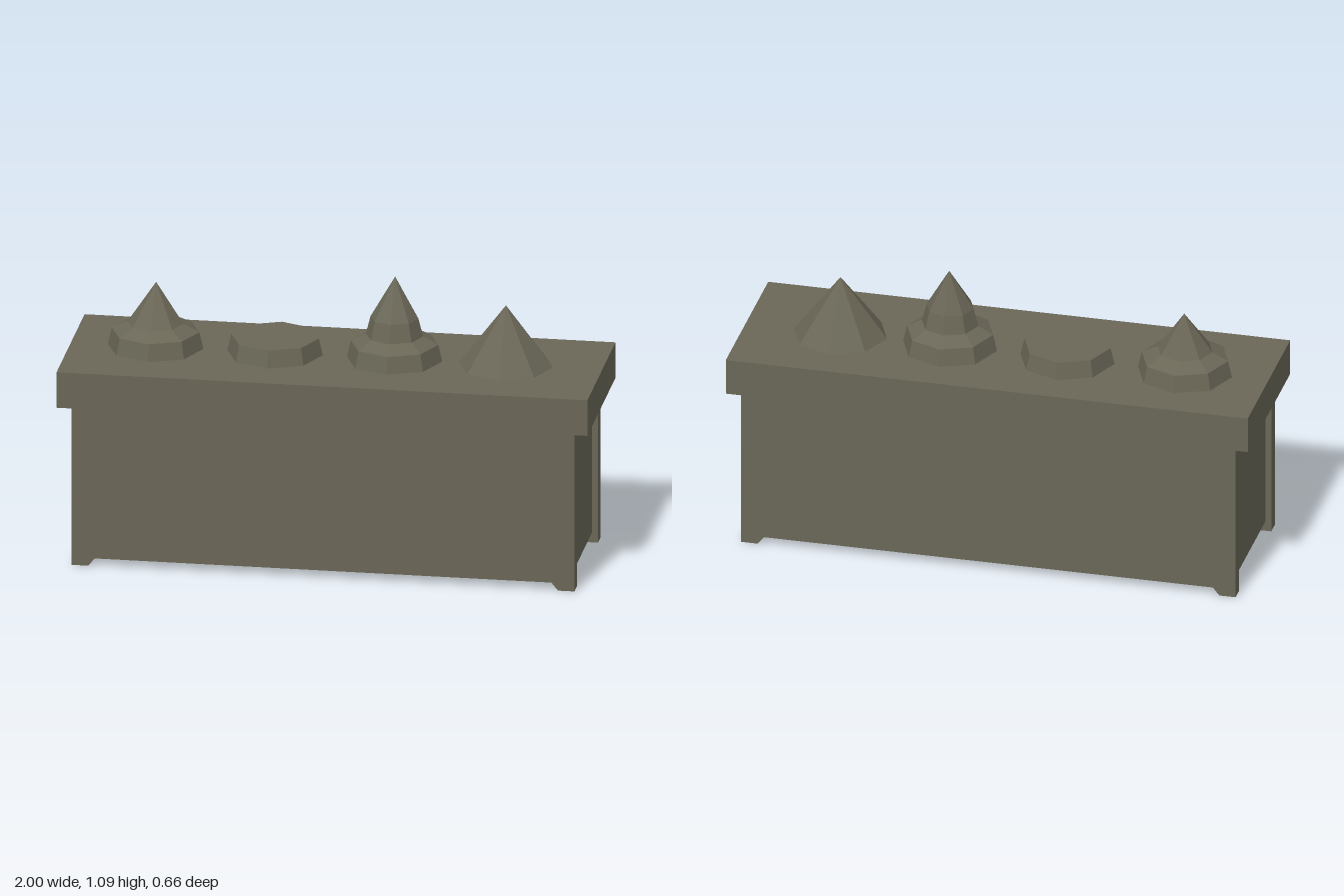
import * as THREE from 'three';

const stone = new THREE.MeshStandardMaterial({ color: 0x6a6757, flatShading: true });
stone.name = 'olive grey';

export function createModel() {
  const model = new THREE.Group();
  model.name = 'planterBox';

  const add = (geometry, name, x = 0, y = 0, z = 0) => {
    const mesh = new THREE.Mesh(geometry, stone);
    mesh.name = name;
    mesh.position.set(x, y, z);
    model.add(mesh);
    return mesh;
  };

  // Long panels with a small chamfered foot at each end
  const wallTop = 0.745;
  const panel = new THREE.Shape([
    [-0.947, 0], [-0.885, 0], [-0.86, 0.03], [0.86, 0.03], [0.885, 0],
    [0.947, 0], [0.947, wallTop], [-0.947, wallTop],
  ].map(([x, y]) => new THREE.Vector2(x, y)));
  const panelGeometry = new THREE.ExtrudeGeometry(panel, { depth: 0.055, bevelEnabled: false });
  add(panelGeometry, 'frontPanel', 0, 0, 0.25);
  add(panelGeometry, 'backPanel', 0, 0, -0.305);

  // Recessed end panels; the box is open underneath
  for (const side of [-1, 1]) {
    add(new THREE.BoxGeometry(0.05, wallTop - 0.04, 0.5),
      side > 0 ? 'leftEndPanel' : 'rightEndPanel', side * 0.9, (wallTop + 0.04) / 2, 0);
  }

  // Hollow lid: a top slab and a thin hanging rim
  add(new THREE.BoxGeometry(2, 0.02, 0.66), 'lidTop', 0, 0.755, 0);
  const corners = (w, d) => [[-w, -d], [w, -d], [w, d], [-w, d]].map(([x, y]) => new THREE.Vector2(x, y));
  const rim = new THREE.Shape(corners(1, 0.33));
  rim.holes.push(new THREE.Path(corners(0.98, 0.315)));
  const rimGeometry = new THREE.ExtrudeGeometry(rim, { depth: 0.12, bevelEnabled: false });
  rimGeometry.rotateX(-Math.PI / 2);
  add(rimGeometry, 'lidRim', 0, 0.625, 0);

  // Eight-sided ornaments: profile [radius, height], apex shifted slightly back
  const base = [[0.18, 0.765], [0.165, 0.83]];
  const ornaments = [
    ['lowSpire', -0.682, [...base, [0.105, 0.86], [0, 1.015]], -0.013],
    ['flatDisc', -0.232, [...base, [0, 0.83]], 0],
    ['tallSpire', 0.218, [...base, [0.108, 0.86], [0.09, 0.93], [0, 1.085]], -0.015],
    ['plainCone', 0.638, [[0.178, 0.765], [0, 1.0]], 0],
  ];
  for (const [name, x, profile, lean] of ornaments) {
    const geometry = new THREE.LatheGeometry(profile.map(([r, y]) => new THREE.Vector2(r, y)), 8);
    const position = geometry.attributes.position;
    for (let i = 0; i < position.count; i++) {
      if (position.getY(i) > 1) position.setZ(i, position.getZ(i) + lean);
    }
    add(geometry, name, x, 0, -0.015);
  }

  return model;
}
